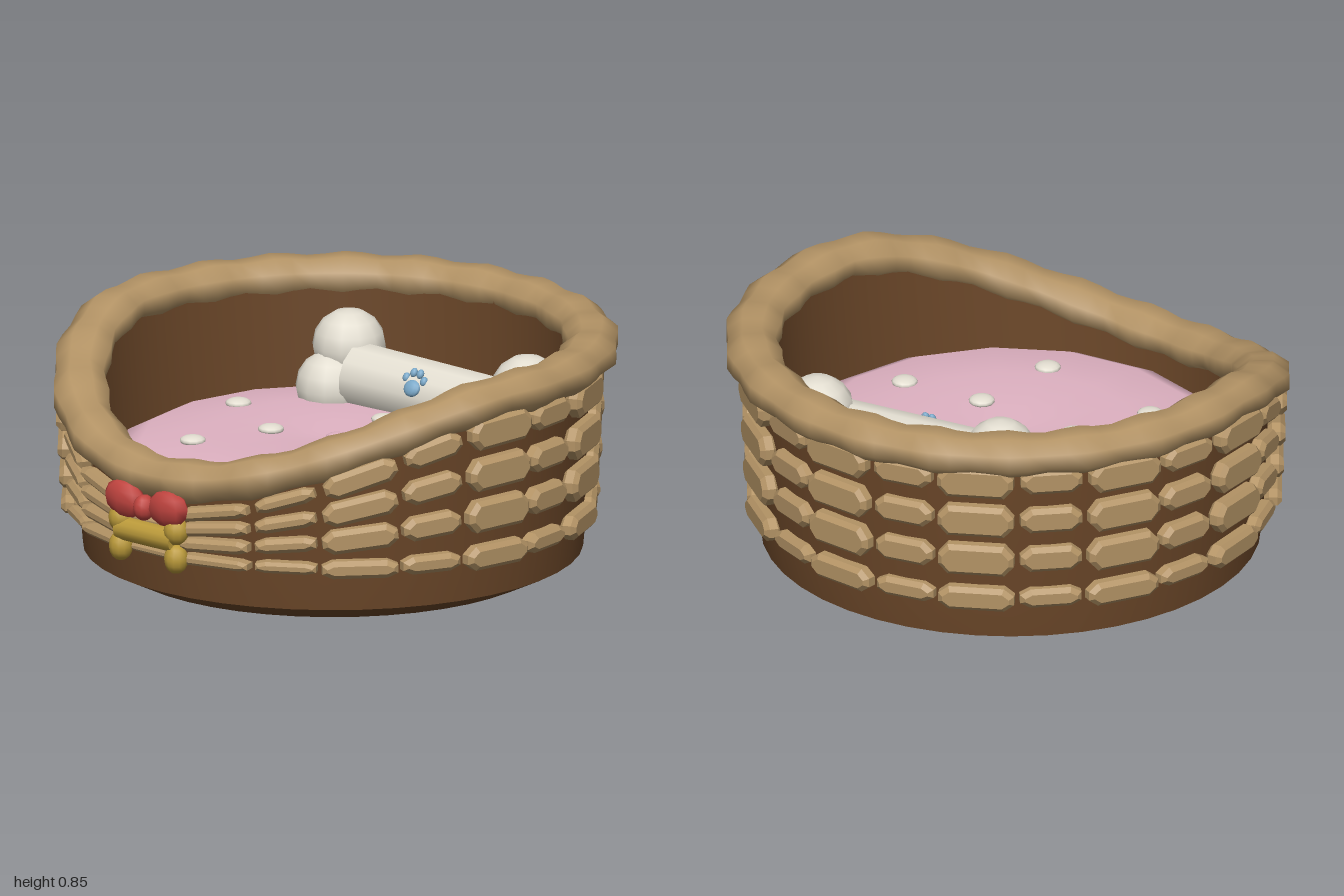
import * as THREE from 'three';
import { mergeVertices, toCreasedNormals } from 'three/addons/utils/BufferGeometryUtils.js';

const material = (name, color) => {
  const m = new THREE.MeshStandardMaterial({ color });
  m.name = name;
  return m;
};

const COLUMNS = 22;
const RIM_RADIUS = 0.885;

// Height of the rim's centre line; angle 0 is the front, where it dips
function rimHeight(angle) {
  const c = Math.max(0, (Math.cos(angle) - 0.1) / 0.9);
  return 0.775 - 0.3 * Math.pow(c, 1.8);
}

function mesh(parent, name, geometry, mat, x = 0, y = 0, z = 0) {
  const m = new THREE.Mesh(geometry, mat);
  m.name = name;
  m.position.set(x, y, z);
  parent.add(m);
  return m;
}

function ball(parent, name, mat, r, x, y, z, sx = 1, sy = 1, sz = 1) {
  const m = mesh(parent, name, new THREE.SphereGeometry(r, 12, 8), mat, x, y, z);
  m.scale.set(sx, sy, sz);
  return m;
}

// Straight cylinder between two points
function rod(parent, name, mat, a, b, r) {
  const from = new THREE.Vector3(...a), to = new THREE.Vector3(...b);
  const dir = to.clone().sub(from);
  const m = mesh(parent, name, new THREE.CylinderGeometry(r, r, dir.length(), 12), mat);
  m.position.copy(from).add(to).multiplyScalar(0.5);
  m.quaternion.setFromUnitVectors(new THREE.Vector3(0, 1, 0), dir.normalize());
  return m;
}

function moveVertices(geometry, rule) {
  const p = geometry.attributes.position, v = new THREE.Vector3();
  for (let i = 0; i < p.count; i++) {
    rule(v.fromBufferAttribute(p, i), Math.atan2(v.x, v.z));
    p.setXYZ(i, v.x, v.y, v.z);
  }
  return geometry;
}

const lathe = (points, segments) =>
  new THREE.LatheGeometry(points.map(([x, y]) => new THREE.Vector2(x, y)), segments);

// Tub with a chamfered foot, its top edge following the rim
function bodyGeometry() {
  const g = lathe([[0, 0], [0.74, 0], [0.865, 0.06], [0.875, 0.17], [0.9, 0.77],
    [0.82, 0.77], [0.79, 0.17], [0, 0.17]], 44);
  moveVertices(g, (v, angle) => {
    if (v.y > 0.18) v.y = 0.17 + (v.y - 0.17) * (rimHeight(angle) - 0.17) / 0.6;
  });
  return toCreasedNormals(g, 0.6);
}

// Lumpy rolled rim, eight-sided in section
function rimGeometry() {
  const section = [];
  for (let i = 0; i <= 8; i++) {
    const a = (i + 0.5) * Math.PI / 4;
    section.push([RIM_RADIUS + 0.096 * Math.cos(a), 0.072 * Math.sin(a)]);
  }
  const g = moveVertices(lathe(section, COLUMNS * 4), (v, angle) => {
    const r = Math.hypot(v.x, v.z), side = Math.atan2(v.y, r - RIM_RADIUS);
    const lump = 1 + 0.09 * Math.cos(COLUMNS * angle + Math.PI + 0.4 * Math.sin(side));
    const newR = RIM_RADIUS + (r - RIM_RADIUS) * lump;
    v.set(Math.sin(angle) * newR, rimHeight(angle) + v.y * lump, Math.cos(angle) * newR);
  });
  g.deleteAttribute('uv');
  g.deleteAttribute('normal');
  const welded = mergeVertices(g);
  welded.computeVertexNormals();
  return welded;
}

// Flat wicker strand with clipped corners and bevelled edges
function strandGeometry(w, h, depth) {
  const bevel = Math.min(0.016, h * 0.3);
  const x = w / 2 - bevel, y = h / 2 - bevel, cx = 0.025, cy = y * 0.7;
  const s = new THREE.Shape([[-x, -y + cy], [-x + cx, -y], [x - cx, -y], [x, -y + cy],
    [x, y - cy], [x - cx, y], [-x + cx, y], [-x, y - cy]].map(([a, b]) => new THREE.Vector2(a, b)));
  return new THREE.ExtrudeGeometry(s, {
    depth: depth - 2 * bevel, bevelEnabled: true, bevelSize: bevel, bevelThickness: bevel, bevelSegments: 1,
  }).translate(0, 0, bevel - depth / 2);
}

function addWeave(parent, mat) {
  const weave = new THREE.Group();
  weave.name = 'wickerWeave';
  parent.add(weave);
  const rowHeight = (row, a) => 0.22 + (rimHeight(a) - 0.1 - 0.22) * row / 3;
  for (let row = 0; row < 4; row++) {
    for (let k = 0; k < COLUMNS; k++) {
      const a = k * Math.PI * 2 / COLUMNS, wide = k % 2 === 1;
      const y = rowHeight(row, a);
      const spacing = (rimHeight(a) - 0.32) / 3;
      const h = spacing * (wide ? 0.72 : 0.58) * (row === 0 ? 0.75 : 1) + 0.004;
      const r = 0.888 + 0.05 * (y - 0.22) + (wide ? 0.012 : 0);
      const m = mesh(weave, 'wickerStrand', strandGeometry(wide ? 0.265 : 0.215, h, 0.062), mat,
        Math.sin(a) * r, y, Math.cos(a) * r);
      const slope = (rowHeight(row, a + 0.05) - rowHeight(row, a - 0.05)) / (0.1 * r);
      m.rotation.set(0, a, Math.atan(slope), 'YXZ');
    }
  }
}

export function createModel() {
  const brown = material('darkWicker', 0x6a4628);
  const tan = material('lightWicker', 0xb39365);
  const pink = material('pinkCushion', 0xdfb2c2);
  const cream = material('cream', 0xe2ddd0);
  const red = material('redBow', 0xc0443f);
  const gold = material('gold', 0xbb9a3a);
  const blue = material('bluePaw', 0x7aa8c8);

  const model = new THREE.Group();
  model.name = 'petBasket';

  // Basket
  mesh(model, 'basketBody', bodyGeometry(), brown, 0, 0, -0.01);
  mesh(model, 'basketRim', rimGeometry(), tan, 0, 0, -0.025);
  addWeave(model, tan);

  // Cushion with tufting buttons
  mesh(model, 'cushion', lathe([[0.7, 0.27], [0.775, 0.33], [0.77, 0.39], [0.68, 0.435],
    [0.45, 0.452], [0.2, 0.445], [0, 0.425]], 16), pink, 0, 0, -0.03);
  ball(model, 'centreButton', pink, 0.04, 0, 0.435, -0.03, 1, 0.45, 1);
  for (const [x, z] of [[0, -0.27], [-0.51, -0.08], [-0.2, 0.09], [0.21, 0.08],
    [0.51, 0.02], [-0.3, 0.38], [0.21, 0.43]]) {
    ball(model, 'button', cream, 0.046, x, 0.452, z, 1, 0.4, 1);
  }

  // Toy bone leaning on the cushion
  const bone = new THREE.Group();
  bone.name = 'toyBone';
  model.add(bone);
  rod(bone, 'boneShaft', cream, [-0.26, 0.53, -0.42], [0.37, 0.495, -0.495], 0.117);
  for (const [x, y, z] of [[-0.34, 0.615, -0.46], [-0.35, 0.48, -0.385],
    [0.42, 0.575, -0.545], [0.43, 0.445, -0.465]]) {
    ball(bone, 'boneKnob', cream, 0.13, x, y, z);
  }

  // Paw badge on the bone
  const paw = new THREE.Group();
  paw.name = 'pawBadge';
  paw.position.set(0.055, 0.568, -0.36);
  paw.rotation.set(-0.5, 0.1, 0);
  model.add(paw);
  ball(paw, 'pawPad', blue, 0.034, 0, -0.015, 0, 1, 0.9, 0.5);
  for (const [x, y] of [[-0.038, 0.018], [-0.014, 0.04], [0.014, 0.04], [0.038, 0.018]]) {
    ball(paw, 'pawToe', blue, 0.015, x, y, 0, 0.9, 1.15, 0.8);
  }

  // Gold bone tag on the front
  const tag = new THREE.Group();
  tag.name = 'boneTag';
  model.add(tag);
  rod(tag, 'tagBar', gold, [-0.13, 0.285, 0.93], [0.13, 0.285, 0.93], 0.042);

  // Red bow above the tag
  const bow = new THREE.Group();
  bow.name = 'bow';
  model.add(bow);
  ball(bow, 'bowKnot', red, 0.042, 0, 0.385, 0.952, 0.9, 1.1, 1);
  for (const side of [-1, 1]) {
    ball(tag, 'tagKnob', gold, 0.05, side * 0.13, 0.22, 0.93, 0.86, 1.05, 0.86);
    ball(tag, 'tagKnob', gold, 0.05, side * 0.13, 0.32, 0.93, 0.9, 1, 0.86);
    const loop = mesh(bow, 'bowLoop', new THREE.SphereGeometry(0.1, 8, 6), red, side * 0.102, 0.397, 0.94);
    loop.scale.set(0.92, 0.66, 0.42);
    loop.rotation.z = side * 0.12;
  }
  return model;
}
